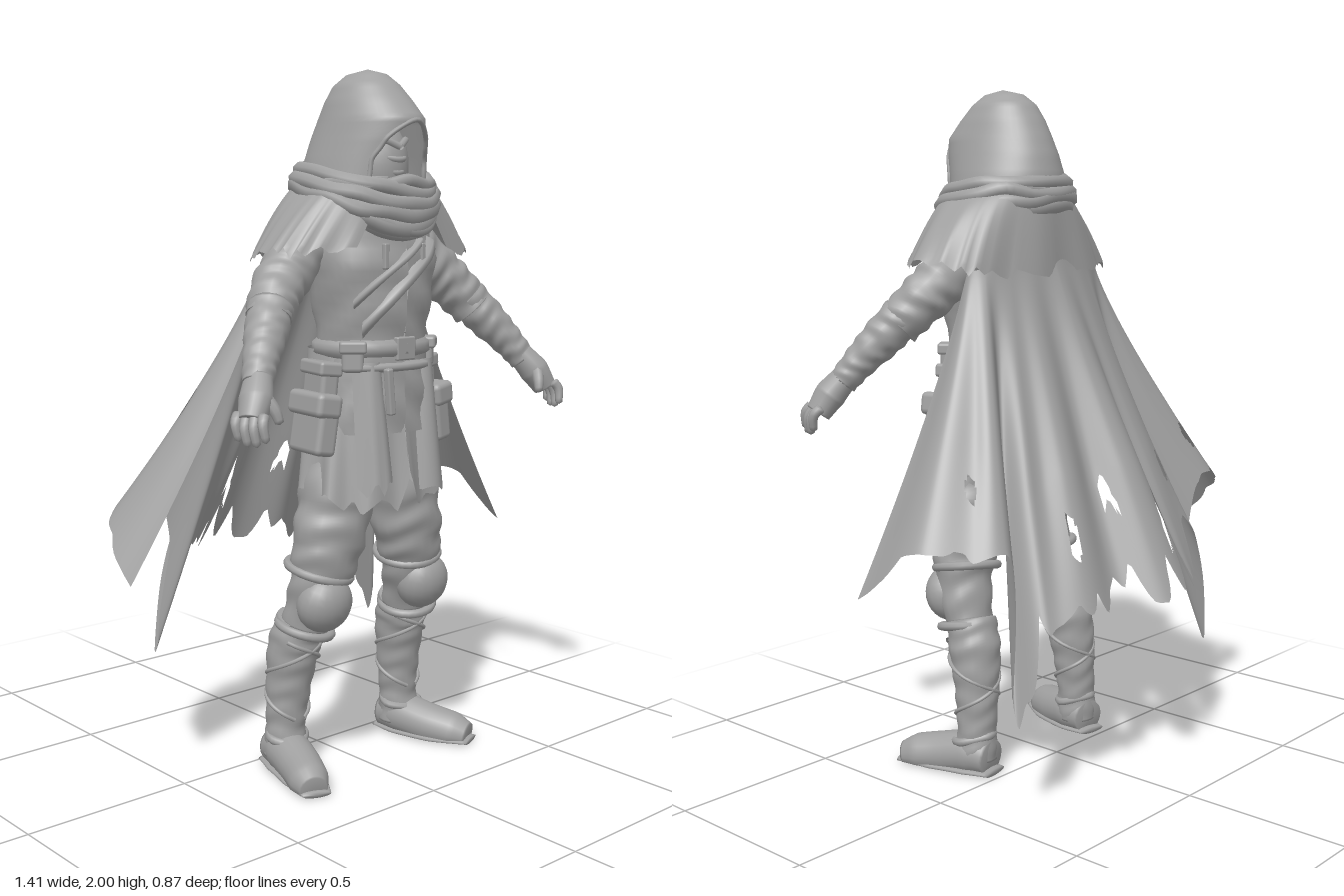
import * as THREE from 'three';
import { mergeVertices } from 'three/addons/utils/BufferGeometryUtils.js';
import { RoundedBoxGeometry } from 'three/addons/geometries/RoundedBoxGeometry.js';

const { sin, cos, PI, abs, max, min, sign, pow } = Math;
const grey = new THREE.MeshStandardMaterial({ color: 0xa0a0a0, side: THREE.DoubleSide });
grey.name = 'cloth grey';
const V = (x, y, z) => new THREE.Vector3(x, y, z);
const curveOf = (pts, closed = false) => new THREE.CatmullRomCurve3(pts.map(p => V(p[0], p[1], p[2])), closed);
const hash = i => { const s = sin(i * 127.1 + 11.7) * 43758.5453; return s - Math.floor(s); };
const lerp = THREE.MathUtils.lerp;

// Piecewise-linear noise from 0 to 1, used for torn hems
function jag(x, seed = 0) {
  const i = Math.floor(x);
  return lerp(hash(i + seed), hash(i + 1 + seed), x - i);
}

// Values of a short table of rows at 0..1
function rowAt(rows, t) {
  const f = min(max(t, 0), 0.99999) * (rows.length - 1), i = Math.floor(f);
  return rows[i].map((v, k) => lerp(v, rows[i + 1][k], f - i));
}

// Smooth surface from a rule fn(u, v) -> [x, y, z]; skip(u, v) leaves holes
function surface(nu, nv, fn, skip) {
  const pos = [], idx = [];
  for (let j = 0; j <= nv; j++) for (let i = 0; i <= nu; i++) pos.push(...fn(i / nu, j / nv));
  for (let j = 0; j < nv; j++) for (let i = 0; i < nu; i++) {
    if (skip && skip((i + 0.5) / nu, (j + 0.5) / nv)) continue;
    const a = j * (nu + 1) + i, b = a + 1, c = a + nu + 1, d = c + 1;
    idx.push(a, c, b, b, c, d);
  }
  let g = new THREE.BufferGeometry();
  g.setAttribute('position', new THREE.Float32BufferAttribute(pos, 3));
  g.setIndex(idx);
  g = mergeVertices(g, 1e-5);
  g.computeVertexNormals();
  return g;
}

// Rounded limb through [x, y, z, r] points with slanted wrinkles; flat scales one axis
function limb(pts, { amp = 0, freq = 0, flat = 1, ref = V(0, 0, 1), floor = -9, nu = 20, nv = 28 } = {}) {
  const c = curveOf(pts);
  return surface(nu, nv, (u, v) => {
    const t = min(max((v - 0.04) / 0.92, 0), 1), a = u * 2 * PI;
    const p = c.getPoint(t), d = c.getTangent(t);
    const s = d.clone().cross(ref).normalize(), n = s.clone().cross(d).normalize();
    const end = v === 0 || v === 1 ? 0 : 1;
    const wave = freq * t * 2 * PI + 1.6 * sin(a + 1) + sin(3 * a + 9 * t);
    const r = rowAt(pts, t)[3] * (1 + amp * sin(wave)) * end;
    p.addScaledVector(s, r * cos(a)).addScaledVector(n, r * sin(a) * flat);
    return [p.x, max(p.y, floor), p.z];
  });
}

const tube = (pts, r, closed = false, n = 32) => new THREE.TubeGeometry(curveOf(pts, closed), n, r, 7, closed);

// Horizontal ring round the body: angle 0 is the front
const around = (a, y, cz, rx, rz, sq = 1) =>
  [rx * sin(a), y, cz + rz * sign(cos(a)) * pow(abs(cos(a)), sq)];

const torsoRows = [[1.0, 0.2, 0.19, 0.15], [1.12, 0.21, 0.175, 0.14], [1.24, 0.21, 0.16, 0.13],
  [1.36, 0.21, 0.175, 0.145], [1.48, 0.205, 0.2, 0.15], [1.6, 0.19, 0.18, 0.14]];
function torsoPoint(a, y, off = 0) {
  const [, cz, rx, rz] = rowAt(torsoRows, (y - 1.0) / 0.6);
  return around(a, y, cz, rx + off, rz + off, 0.8);
}

// Raised strap laid on the torso between two angle/height pairs
function strap(a0, y0, a1, y1, w) {
  return surface(24, 4, (u, v) => {
    const off = v === 0 || v === 1 ? -0.005 : 0.014;
    return torsoPoint(lerp(a0, a1, u), lerp(y0, y1, u) + (v - 0.5) * w, off);
  });
}

export function createModel() {
  const root = new THREE.Group();
  const group = (name, x, parent = root) => {
    const g = new THREE.Group();
    g.name = name;
    g.position.x = x;
    parent.add(g);
    return g;
  };
  const body = group('body', 0.022), head = group('head', 0.012);
  const add = (name, geo, parent = body) => {
    const m = new THREE.Mesh(geo, grey);
    m.name = name;
    parent.add(m);
    return m;
  };
  const box = (name, x, y, z, w, h, d, ry = 0, rz = 0) => {
    const m = add(name, new RoundedBoxGeometry(w, h, d, 2, min(w, h, d) * 0.25));
    m.position.set(x, y, z);
    m.rotation.set(0, ry, rz);
  };

  // Hood: y, half width, back z, front z, half width of the face opening
  const hoodRows = [[2.0, 0, 0.2, 0.2, 0], [1.985, 0.05, 0.13, 0.26, 0], [1.955, 0.083, 0.09, 0.3, 0],
    [1.91, 0.105, 0.06, 0.345, 0], [1.86, 0.122, 0.035, 0.39, 0], [1.81, 0.136, 0.015, 0.385, 0.07],
    [1.75, 0.153, 0, 0.37, 0.1], [1.68, 0.168, 0, 0.355, 0.105], [1.6, 0.15, 0.02, 0.34, 0.08]];
  const hood = (u, v) => {
    const [y, rx, zb, zf, gap] = rowAt(hoodRows, v);
    const g = rx > 0 ? Math.asin(min(gap / rx, 1)) : 0;
    return around(lerp(g, 2 * PI - g, u), y, (zb + zf) / 2, rx, (zf - zb) / 2);
  };
  add('hood', surface(48, 32, hood), head);
  const rim = [];
  for (let i = 0; i <= 6; i++) rim.push(hood(0, 1 - i / 16));
  rim.push(hood(0, 0.515));
  for (let i = 2; i <= 8; i++) rim.push(hood(1, 0.5 + i / 16));
  add('hoodRim', tube(rim, 0.007, false, 48), head);

  // Masked face
  const face = add('face', new THREE.SphereGeometry(1, 24, 18), head);
  face.scale.set(0.092, 0.14, 0.105);
  face.position.set(0, 1.735, 0.225);
  for (let i = 0; i < 3; i++) {
    const y = 1.755 - i * 0.035, w = 0.085 - i * 0.004;
    add('maskFold', tube([[-w, y + 0.02, 0.25], [0, y - 0.005, 0.332 - i * 0.006], [w, y + 0.025, 0.25]], 0.008), head);
  }
  for (const s of [-1, 1])
    add('brow', tube([[s * 0.085, 1.8, 0.255], [s * 0.045, 1.805, 0.305], [0, 1.785, 0.332]], 0.01), head);

  // Scarf: wide loops sagging to a V at the front, level at the sides and back
  const loops = [[1.55, 1.645, 0.16, 0.18, 0.026], [1.575, 1.655, 0.185, 0.195, 0.028], [1.605, 1.68, 0.198, 0.2, 0.027],
    [1.635, 1.705, 0.198, 0.2, 0.024], [1.66, 1.725, 0.182, 0.195, 0.022], [1.59, 1.735, 0.172, 0.185, 0.016],
    [1.69, 1.67, 0.19, 0.188, 0.018], [1.565, 1.7, 0.2, 0.192, 0.016]];
  loops.forEach(([yf, yb, rx, rz, r], k) => {
    const pts = [];
    for (let i = 0; i < 16; i++) {
      const a = i / 16 * 2 * PI, f = pow((1 + cos(a)) / 2, 2.2);
      const y = lerp(yb, yf, f) + 0.024 * (hash(i + k * 20) - 0.5);
      pts.push(around(a, y, 0.19, rx, rz - r + 0.006));
    }
    add('scarfFold', tube(pts, r, true, 64), head);
  });

  // Shoulder mantle, open over the chest, with a torn hem
  add('mantle', surface(120, 14, (u, v) => {
    const gap = lerp(0.3, 0.52, v), a = lerp(gap, 2 * PI - gap, u);
    const p = around(a, 1.705 - 0.185 * pow(v, 1.18), 0.172, lerp(0.165, 0.358, pow(v, 0.93)), lerp(0.16, 0.185, v), 0.75);
    const back = max(0, -cos(a)), fold = 0.007 * v * sin(a * 9);
    return [p[0] * (1 + fold * 2), p[1] - v * v * (0.035 * jag(u * 60, 5) + 0.035 * back), p[2] + fold * cos(a)];
  }));

  // Torso, belts and straps
  add('torso', surface(40, 20, (u, v) =>
    torsoPoint(u * 2 * PI, lerp(1.0, 1.6, v), 0.004 * sin(v * 30 + 3 * sin(u * 12)))));
  add('belt', strap(0, 1.235, 2 * PI, 1.235, 0.055));
  add('lowerBelt', strap(0, 1.185, 2 * PI, 1.185, 0.03));
  add('chestStrap', strap(0.65, 1.52, -0.85, 1.29, 0.05));
  add('chestStrap', strap(0.3, 1.53, -1.0, 1.36, 0.03));
  box('buckle', 0, 1.235, 0.345, 0.07, 0.065, 0.02);
  for (const s of [-1, 1]) box('cord', s * 0.07 - 0.01, 1.49, 0.35, 0.016, 0.07, 0.016);

  // Long coat skirt with a front slit and torn hem
  add('coatSkirt', surface(120, 18, (u, v) => {
    const a = u * 2 * PI, slit = max(0, 1 - abs(sin(a / 2)) * 12) * 0.09;
    const len = 0.36 + 0.05 * max(0, cos(a)) + 0.06 * jag(u * 44, 40) - slit;
    const fold = 1 + 0.05 * v * sin(a * 10 + 1);
    return around(a, 1.23 - v * len, lerp(0.175, 0.21, v), lerp(0.165, 0.225, v) * fold, lerp(0.138, 0.155, v) * fold, 0.85);
  }));
  for (const x of [-0.095, 0.105])
    add('frontPanel', surface(16, 14, (u, v) => [x + (u - 0.5) * lerp(0.1, 0.13, v),
      1.2 - v * (0.32 + 0.06 * jag(u * 7, Math.floor(x * 90))), lerp(0.335, 0.378, v) - 0.05 * pow(abs(u - 0.5) * 2, 2)]));
  box('knife', -0.07, 1.12, 0.36, 0.022, 0.13, 0.022, 0, 0.1);

  // Belt pouches
  const pouch = (x, y, z, w, h, d, ry, rz) => {
    box('pouch', x, y, z, w, h, d, ry, rz);
    box('pouchFlap', x, y + h * 0.32, z, w + 0.016, h * 0.4, d + 0.016, ry, rz);
  };
  for (const s of [-1, 1]) {
    pouch(s * 0.212, 1.03, 0.21, 0.065, 0.17, 0.155, s * 0.15, s * 0.15);
    pouch(s * 0.14, 1.215, 0.285, 0.06, 0.085, 0.05, s * 0.7, 0);
    pouch(s * 0.18, 1.15, 0.2, 0.055, 0.1, 0.12, s * 0.25, s * 0.1);
  }

  // Limbs, built once per side
  for (const s of [-1, 1]) {
    const side = group(s > 0 ? 'leftLimbs' : 'rightLimbs', 0.008, body);
    const L = (name, pts, o) => add(name, limb(pts.map(([x, y, z, r]) => [s * x, y, z, r]), o), side);

    // Arm: loose sleeve, wrapped forearm and gloved hand
    L('sleeve', [[0.2, 1.52, 0.15, 0.072], [0.285, 1.445, 0.165, 0.076], [0.345, 1.39, 0.19, 0.071], [0.395, 1.325, 0.225, 0.062]], { amp: 0.05, freq: 4, nv: 44 });
    L('bracer', [[0.38, 1.355, 0.215, 0.062], [0.43, 1.29, 0.255, 0.058], [0.48, 1.225, 0.295, 0.047], [0.515, 1.17, 0.325, 0.04]], { amp: 0.04, freq: 5, nv: 50 });
    L('palm', [[0.508, 1.185, 0.32, 0.036], [0.54, 1.135, 0.35, 0.043], [0.57, 1.085, 0.368, 0.034]], { flat: 1.1 });
    for (let i = 0; i < 4; i++) {
      const z = 0.335 + i * 0.024, o = 0.012 * abs(i - 1.5);
      L('finger', [[0.584 - i * 0.008, 1.105, z, 0.015], [0.603 - i * 0.01, 1.065 + o, z + 0.012, 0.014], [0.598 - i * 0.01, 1.018 + o, z + 0.02, 0.01]], { nu: 8, nv: 10 });
    }
    L('thumb', [[0.53, 1.15, 0.365, 0.02], [0.512, 1.11, 0.392, 0.016], [0.503, 1.075, 0.402, 0.011]], { nu: 8, nv: 10 });

    // Leg: baggy trousers, knee guard, wrapped boot
    L('trouser', [[0.1, 0.98, 0.19, 0.105], [0.13, 0.8, 0.195, 0.112], [0.158, 0.68, 0.195, 0.108], [0.18, 0.57, 0.185, 0.09], [0.2, 0.44, 0.145, 0.073]], { amp: 0.04, freq: 5, flat: 0.9, nv: 56 });
    const knee = add('kneeGuard', new THREE.SphereGeometry(1, 20, 14), side);
    knee.scale.set(0.086, 0.085, 0.07);
    knee.position.set(s * 0.195, 0.515, 0.222);
    knee.rotation.x = 0.25;
    for (const [y, r] of [[0.6, 0.092], [0.43, 0.078]]) {
      const k = add('kneeStrap', new THREE.TorusGeometry(r, 0.013, 8, 28), side);
      k.rotation.set(PI / 2 + 0.2, s * 0.15, 0);
      k.position.set(s * (0.278 - y * 0.17), y, 0.075 + y * 0.17);
    }
    L('boot', [[0.203, 0.45, 0.135, 0.074], [0.214, 0.37, 0.11, 0.077], [0.222, 0.25, 0.095, 0.066], [0.228, 0.14, 0.09, 0.058], [0.232, 0.04, 0.09, 0.062]], { amp: 0.03, freq: 6, nv: 56 });
    for (const w of [-1, 1]) {
      const lace = [];
      for (let i = 0; i <= 18; i++) {
        const t = i / 18, a = w * (t * 7 - 1), r = lerp(0.079, 0.061, t);
        lace.push([s * lerp(0.212, 0.227, t) + r * sin(a), lerp(0.4, 0.16, t), lerp(0.115, 0.09, t) + r * cos(a)]);
      }
      add('bootLace', tube(lace, 0.006, false, 60), side);
    }
    L('foot', [[0.225, 0.05, 0.035, 0.052], [0.235, 0.055, 0.1, 0.065], [0.264, 0.038, 0.2, 0.062], [0.294, 0.027, 0.27, 0.058], [0.312, 0.018, 0.312, 0.04]], { ref: V(0, 1, 0), floor: 0.004 });
    L('sole', [[0.225, 0.01, 0.02, 0.046], [0.237, 0.01, 0.1, 0.064], [0.27, 0.01, 0.22, 0.066], [0.312, 0.01, 0.325, 0.042]], { ref: V(0, 1, 0), flat: 0.2, floor: 0 });
    add('ankleWrap', tube([[0.17, 0.1, 0.1], [0.23, 0.12, 0.035], [0.29, 0.1, 0.1], [0.245, 0.09, 0.16]].map(p => [s * p[0], p[1], p[2]]), 0.012, true), side);
  }

  // Torn cape: hem runs from the right front edge round the back to the left
  const hem = curveOf([[-0.71, 0.62, 0.06], [-0.66, 0.76, -0.13], [-0.53, 0.82, -0.2], [-0.45, 0.78, -0.22], [-0.43, 0.3, -0.24],
    [-0.33, 0.66, -0.29], [-0.19, 0.58, -0.36], [-0.15, 0.55, -0.43], [0.02, 0.56, -0.41], [0.14, 0.53, -0.38], [0.27, 0.56, -0.32],
    [0.4, 0.5, -0.33], [0.465, 0.25, -0.26], [0.5, 0.75, -0.26], [0.58, 0.74, -0.21], [0.665, 0.76, -0.11], [0.71, 0.6, 0.1]]);
  const holes = [[0.14, 0.82, 0.018, 0.06], [0.1, 0.6, 0.018, 0.06], [0.33, 0.8, 0.008, 0.06], [0.46, 0.86, 0.01, 0.06],
    [0.53, 0.76, 0.01, 0.04], [0.62, 0.8, 0.008, 0.07], [0.88, 0.78, 0.011, 0.04]];
  add('cape', surface(260, 50, (u, v) => {
    const h = hem.getPoint(u), a = lerp(-PI * 0.56, PI * 0.56, u), edge = abs(u - 0.5);
    const top = V(0.015 + 0.27 * sin(a), 1.53 - 0.05 * abs(sin(a)), 0.08 - 0.08 * cos(a));
    const t = v * (1 - 0.17 * pow(jag(u * 70, 80), 2) * (1 - 1.7 * edge));
    const out = pow(t, 1.14 + 0.16 * edge);
    const fold = 0.02 * min(1, t * 1.6) * (sin(u * PI * 17 + 0.7 * sin(t * 3)) + 0.6 * sin(u * 41 + 1)) * sin(PI * u);
    return [lerp(top.x, h.x, out) + fold * sin(a), lerp(top.y, h.y, t), lerp(top.z, h.z, out) - fold * cos(a)];
  }, (u, v) => holes.some(([hu, hv, ru, rv]) => pow((u - hu) / ru, 2) + pow((v - hv) / rv, 2) < 1)), root);

  return root;
}
